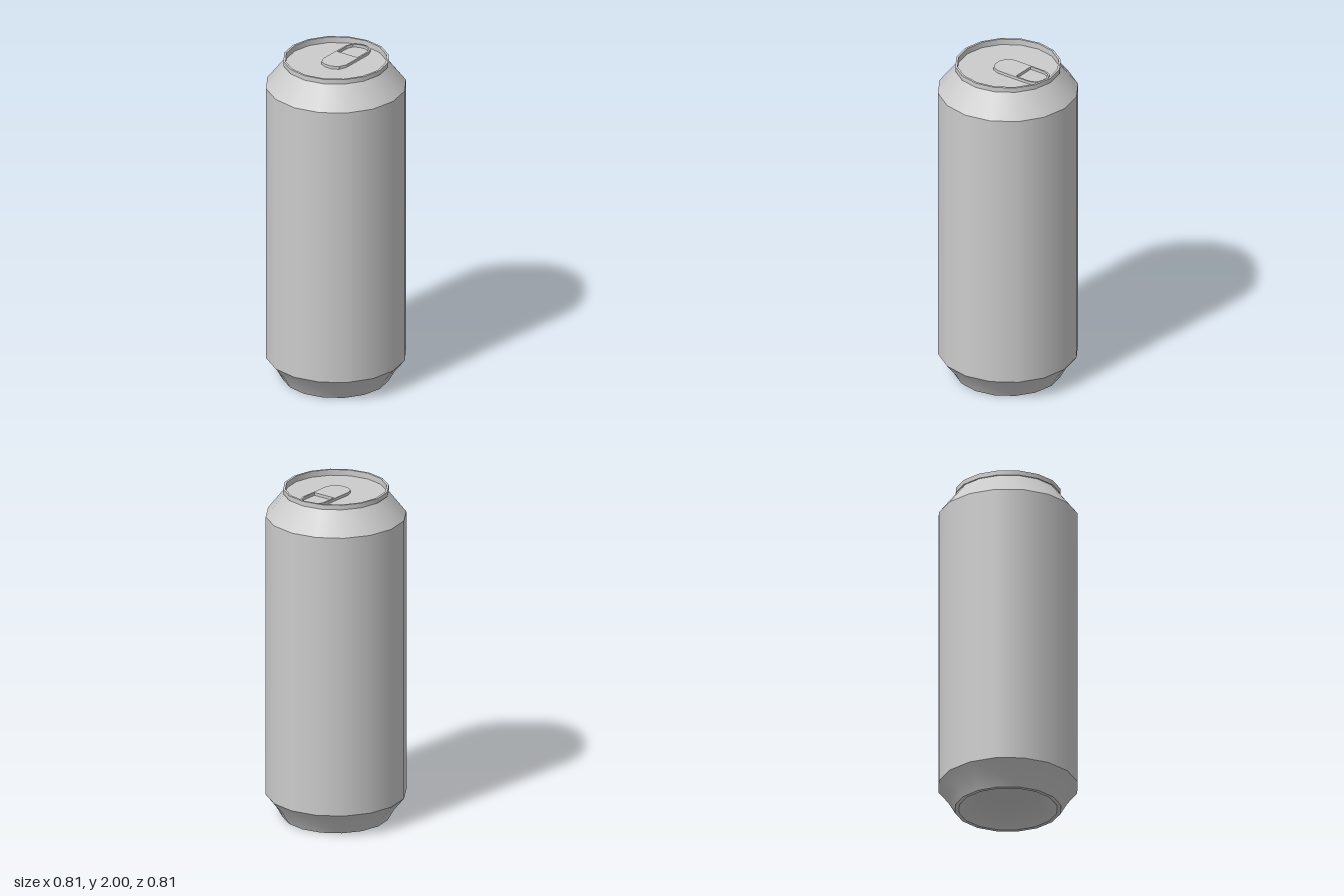
import * as THREE from 'three';

const SIDES = 16;

export function createModel() {
  const can = new THREE.Group();
  can.name = 'drinkCan';
  const metal = new THREE.MeshStandardMaterial({ color: 0xcccccc });

  const add = (name, geometry) => {
    const mesh = new THREE.Mesh(geometry, metal);
    mesh.name = name;
    can.add(mesh);
    return mesh;
  };

  // Each band is its own lathe, so the joints between bands stay sharp.
  const band = (name, profile) =>
    add(name, new THREE.LatheGeometry(profile.map(([r, y]) => new THREE.Vector2(r, y)), SIDES));

  // Concave underside, from the centre outwards
  band('bottomDome', [[0, 0.1], [0.1, 0.093], [0.19, 0.07], [0.25, 0.037], [0.285, 0]]);
  band('footRing', [[0.285, 0], [0.308, 0]]);
  band('lowerTaper', [[0.308, 0], [0.345, 0.065], [0.405, 0.14]]);

  // Wall and shoulder
  band('body', [[0.405, 0.14], [0.405, 1.835]]);
  band('shoulder', [[0.405, 1.835], [0.295, 1.975]]);

  // Rolled rim and sunken lid
  band('rimUnderside', [[0.295, 1.972], [0.305, 1.972]]);
  band('rimOuter', [[0.305, 1.972], [0.305, 2]]);
  band('rimTop', [[0.305, 2], [0.292, 2]]);
  band('rimInner', [[0.292, 2], [0.292, 1.965]]);
  band('lid', [[0.292, 1.965], [0, 1.965]]);

  // Pull tab: rounded plate with a finger opening towards the back
  const mirrored = (half) => [
    ...half,
    ...half.slice().reverse().map(([x, y]) => [-x, y]),
  ].map(([x, y]) => new THREE.Vector2(x, y));

  const plate = new THREE.Shape(mirrored([
    [0.022, -0.075], [0.062, -0.056], [0.08, -0.013],
    [0.08, 0.208], [0.062, 0.252], [0.02, 0.271],
  ]));
  plate.holes.push(new THREE.Path(mirrored([
    [0.07, 0.11], [0.07, 0.205], [0.055, 0.243], [0.018, 0.26],
  ])));
  const tab = new THREE.ExtrudeGeometry(plate, { depth: 0.017, bevelEnabled: false });
  tab.rotateX(-Math.PI / 2);
  add('pullTab', tab).position.y = 1.965;

  return can;
}
